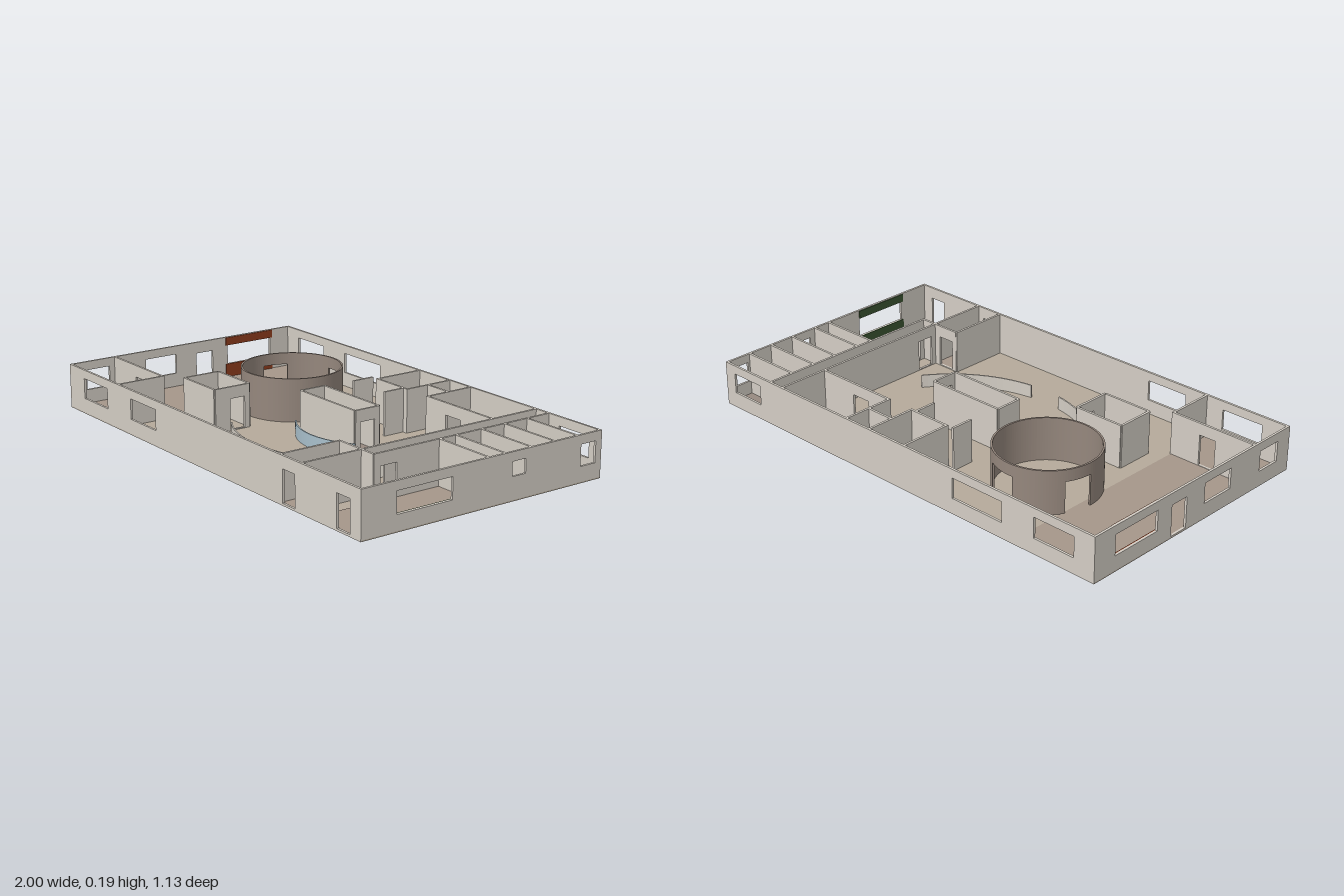
import * as THREE from 'three';

const H = 0.19, T = 0.01, DOOR = 0.14;
const mat = (color) => new THREE.MeshStandardMaterial({ color });
const MATS = {
  wall: mat(0xd3cdc4), floor: mat(0xb5aa9b), carpet: mat(0xa5968a), tile: mat(0x978a80),
  drum: mat(0x95877d), glass: mat(0xa9c0cc), red: mat(0x8a3a1c), green: mat(0x3a5230),
};

export function createModel() {
  const root = new THREE.Group();
  const add = (name, geo, material) => {
    const m = new THREE.Mesh(geo, material);
    m.name = name;
    root.add(m);
    return m;
  };

  // Axis-aligned box from its limits
  const block = (name, material, x0, x1, y0, y1, z0, z1) => add(name,
    new THREE.BoxGeometry(x1 - x0, y1 - y0, z1 - z0)
      .translate((x0 + x1) / 2, (y0 + y1) / 2, (z0 + z1) / 2), material);

  // Straight wall along x or z with rectangular openings [from, to, bottom, top]
  const wall = (name, axis, at, a, b, openings = []) => {
    const s = new THREE.Shape();
    s.moveTo(a, 0.002).lineTo(b, 0.002).lineTo(b, H).lineTo(a, H).closePath();
    for (const [u0, u1, y0, y1] of openings) {
      const h = new THREE.Path();
      h.moveTo(u0, y0).lineTo(u0, y1).lineTo(u1, y1).lineTo(u1, y0).closePath();
      s.holes.push(h);
    }
    const g = new THREE.ExtrudeGeometry(s, { depth: T, bevelEnabled: false });
    g.translate(0, 0, -T / 2);
    if (axis === 'z') g.rotateY(-Math.PI / 2).translate(at, 0, 0);
    else g.translate(0, 0, at);
    return add(name, g, MATS.wall);
  };
  const door = (a, b) => [a, b, 0.01, DOOR];
  const win = (a, b, y0 = 0.067) => [a, b, y0, 0.153];

  // Curved wall: ring sector between two angles (degrees, x towards z)
  const arcWall = (name, material, cx, cz, r, d0, d1, y0, y1, t = 0.008) => {
    const a0 = THREE.MathUtils.degToRad(d0), a1 = THREE.MathUtils.degToRad(d1);
    const s = new THREE.Shape();
    s.absarc(0, 0, r + t / 2, a0, a1, false);
    s.absarc(0, 0, r - t / 2, a1, a0, true);
    s.closePath();
    const g = new THREE.ExtrudeGeometry(s, {
      depth: y1 - y0, bevelEnabled: false, curveSegments: Math.max(6, Math.ceil((d1 - d0) / 6)),
    });
    g.rotateX(Math.PI / 2).translate(cx, y1, cz);
    return add(name, g, material);
  };

  // Floors
  block('floorSlab', MATS.floor, -1, 1, 0.001, 0.006, -0.565, 0.565);
  block('leftFloor', MATS.carpet, -0.995, -0.605, 0, 0.008, -0.56, 0.56);
  block('rightFloor', MATS.carpet, 0.72, 0.995, 0, 0.008, -0.56, 0.56);
  block('smallRoomsFloor', MATS.tile, 0.722, 0.993, 0.002, 0.0095, -0.56, -0.01);
  block('entryRoomFloor', MATS.carpet, 0.52, 0.655, 0, 0.008, 0.295, 0.56);
  block('coreRoomFloor', MATS.tile, -0.095, 0.257, 0, 0.008, -0.1, 0.02);

  // Outer walls
  wall('frontWall', 'x', 0.56, -1, 1,
    [win(-0.88, -0.69), win(-0.505, -0.315), door(0.545, 0.62), door(0.865, 0.94)]);
  wall('backWall', 'x', -0.56, -1, 1, [win(-0.905, -0.715), win(-0.56, -0.31), win(0.785, 0.945)]);
  wall('leftWall', 'z', -0.995, -0.555, 0.555,
    [win(-0.455, -0.225), door(-0.145, -0.06), win(0.045, 0.2), win(0.38, 0.49)]);
  wall('rightWall', 'z', 0.995, -0.555, 0.555,
    [win(0.16, 0.41), win(-0.185, -0.12, 0.096), win(-0.535, -0.46)]);

  // Coloured panels above and below one window on each end wall
  for (const [name, material, x, z0, z1] of [
    ['redPanel', MATS.red, -0.988, -0.465, -0.215], ['greenPanel', MATS.green, 0.988, 0.16, 0.42]]) {
    block(name + 'Lower', material, x - 0.002, x + 0.002, 0.006, 0.067, z0, z1);
    block(name + 'Upper', material, x - 0.002, x + 0.002, 0.153, H - 0.002, z0, z1);
  }

  // Corridor and the row of small rooms on the right
  wall('corridorInnerWall', 'z', 0.652, -0.555, 0.555, [door(0.19, 0.265)]);
  wall('corridorOuterWall', 'z', 0.723, -0.555, 0.295, [
    door(-0.54, -0.465), door(-0.425, -0.35), door(-0.31, -0.235),
    door(-0.19, -0.115), door(-0.08, -0.02), door(0.19, 0.265)]);
  wall('corridorEndWall', 'x', 0.293, 0.655, 0.725);
  for (const z of [-0.445, -0.33, -0.215, -0.09, -0.012]) {
    wall('smallRoomDivider', 'x', z, 0.727, 0.99);
  }

  // Entry room by the front door
  wall('entryRoomSideWall', 'z', 0.523, 0.29, 0.555);
  wall('entryRoomBackWall', 'x', 0.293, 0.523, 0.65, [door(0.545, 0.62)]);

  // Front corner room on the left
  wall('cornerRoomBackWall', 'x', 0.35, -0.99, -0.602, [door(-0.815, -0.74)]);
  wall('cornerRoomSideWall', 'z', -0.607, 0.35, 0.555);

  // Rooms along the back
  for (const x of [-0.05, 0.142, 0.27]) wall('backRoomSideWall', 'z', x, -0.555, -0.33);
  wall('backRoomFrontWall', 'x', -0.335, -0.05, 0.142);
  wall('backNicheWall', 'x', -0.442, 0.142, 0.27);
  wall('backLongWall', 'x', -0.335, 0.27, 0.65, [door(0.385, 0.475)]);
  for (const x of [-0.083, 0.12]) wall('screenWall', 'z', x, -0.335, -0.235);

  // Free-standing rectangular rooms
  const room = (name, x0, x1, z0, z1, endDoor) => {
    wall(name + 'Front', 'x', z1, x0, x1);
    wall(name + 'Back', 'x', z0, x0, x1);
    wall(name + 'Left', 'z', x1, z0, z1, [endDoor]);
    wall(name + 'Right', 'z', x0, z0, z1);
  };
  room('coreRoom', -0.097, 0.257, -0.1, 0.018, door(-0.075, -0.005));
  room('sideRoom', -0.533, -0.308, 0.125, 0.291, door(0.15, 0.22));

  // Round room with two doorways
  const round = (name, d0, d1, y0) =>
    arcWall(name, MATS.drum, -0.427, -0.175, 0.211, d0, d1, y0, H);
  round('roundRoomShortWall', -150, -95, 0.004);
  round('roundRoomLongWall', -60, 180, 0.004);
  round('roundRoomLintel', -180, -150, DOOR);
  round('roundRoomLintel', -95, -60, DOOR);

  // Curved counter and low curved screens
  arcWall('curvedCounter', MATS.glass, 0.08, -0.23, 0.325, 53, 127, 0.006, 0.062, 0.006);
  arcWall('curvedScreenLeft', MATS.wall, 0.05, -0.23, 0.567, 33.5, 82.5, 0.006, 0.062, 0.006);
  arcWall('curvedScreenRight', MATS.wall, 0.05, -0.23, 0.567, 98, 122, 0.006, 0.062, 0.006);

  return root;
}
